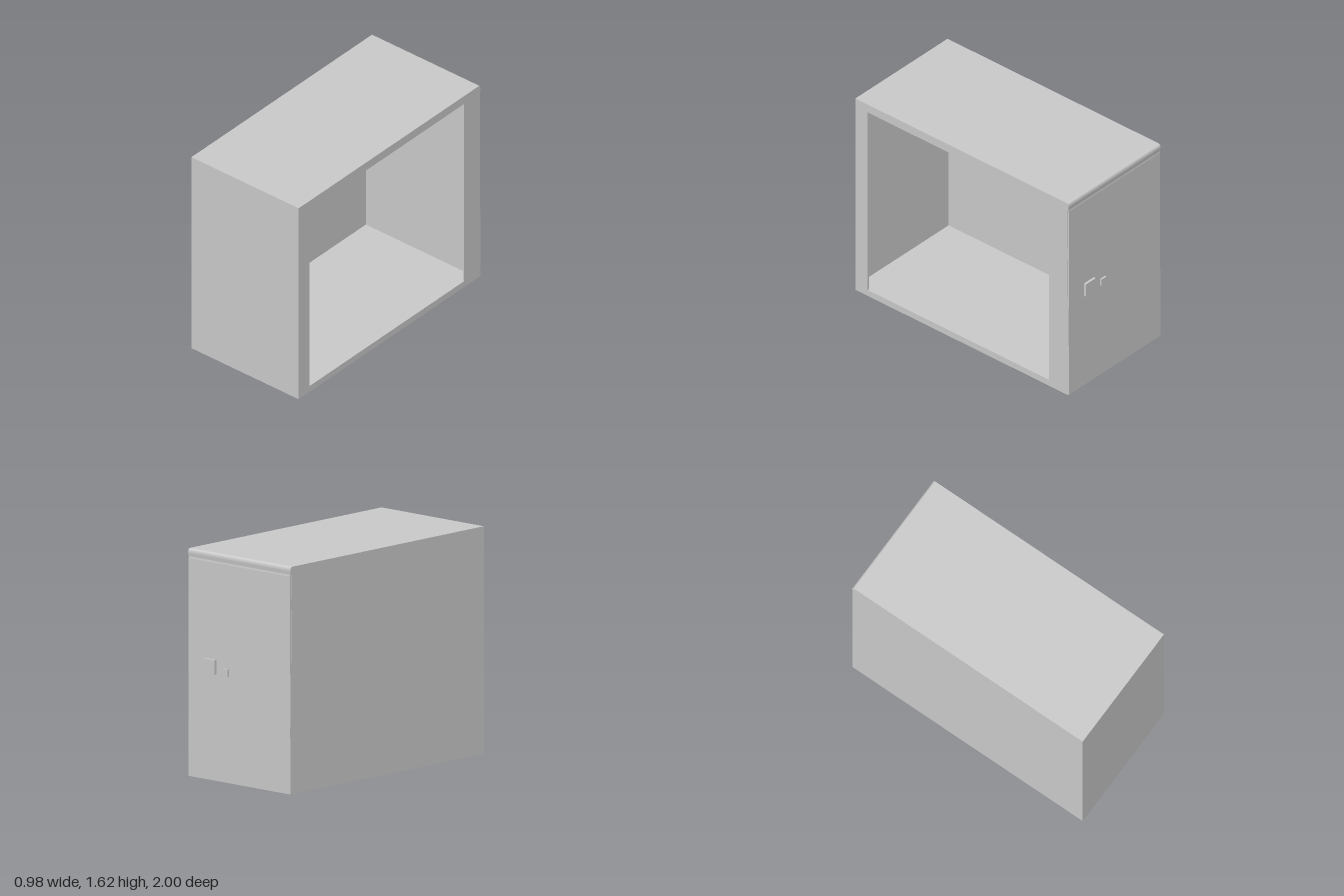
import * as THREE from 'three';

const HALF_W = 0.49, HEIGHT = 1.625;
const CAVITY_X = [-0.485, 0.478]; // inside of the closed wall, inside of the frame

// Side outline in (-z, y): slim rounded lip at the top of a slightly receding back
function outline() {
  const s = new THREE.Shape();
  s.moveTo(-1, 0);
  s.lineTo(0.98, 0);
  s.lineTo(0.98, 0.4);
  s.lineTo(0.967, 1.565);
  s.lineTo(0.979, 1.567);
  s.lineTo(0.982, 1.595);
  s.quadraticCurveTo(0.982, HEIGHT, 0.962, HEIGHT);
  s.lineTo(-1, HEIGHT);
  s.closePath();
  return s;
}

// Side outline with a rectangular opening from front to back
function outlineWithHole(front, back) {
  const s = outline();
  const hole = new THREE.Path();
  hole.moveTo(-front, 0.05);
  hole.lineTo(-front, 1.558);
  hole.lineTo(-back, 1.558);
  hole.lineTo(-back, 0.05);
  hole.closePath();
  s.holes.push(hole);
  return s;
}

// Extrudes a (-z, y) shape along x
function extrudeX(shape, x0, x1) {
  const g = new THREE.ExtrudeGeometry(shape, { depth: x1 - x0, bevelEnabled: false, curveSegments: 6 });
  g.rotateY(Math.PI / 2);
  g.translate(x0, 0, 0);
  return g;
}

export function createModel() {
  const group = new THREE.Group();
  const material = new THREE.MeshStandardMaterial({ color: 0xcccccc });
  const add = (name, geometry) => {
    const mesh = new THREE.Mesh(geometry, material);
    mesh.name = name;
    group.add(mesh);
    return mesh;
  };

  // Closed wall on -x, hollow shell with a wide cavity, thin window frame on +x
  add('closedSideWall', extrudeX(outline(), -HALF_W, CAVITY_X[0]));
  add('cabinetShell', extrudeX(outlineWithHole(0.985, -0.895), ...CAVITY_X));
  add('windowFrame', extrudeX(outlineWithHole(0.885, -0.803), CAVITY_X[1], HALF_W));

  // Thin back panel, inset at both sides, meeting the lip at its top
  const panel = new THREE.Shape();
  panel.moveTo(0.96, 0.002);
  panel.lineTo(0.981, 0.002);
  panel.lineTo(0.981, 1.555);
  panel.lineTo(0.979, 1.57);
  panel.lineTo(0.96, 1.57);
  panel.closePath();
  add('backPanel', extrudeX(panel, -HALF_W + 0.004, HALF_W - 0.004));

  // Square buttons on the back: [name, x, y, size, back z]
  for (const [name, x, y, size, back] of [
    ['largeButton', 0.272, 0.812, 0.104, -1],
    ['smallButton', 0.127, 0.787, 0.054, -0.995],
  ]) {
    const depth = -0.975 - back;
    add(name, new THREE.BoxGeometry(size, size, depth)).position.set(x, y, back + depth / 2);
  }

  return group;
}
